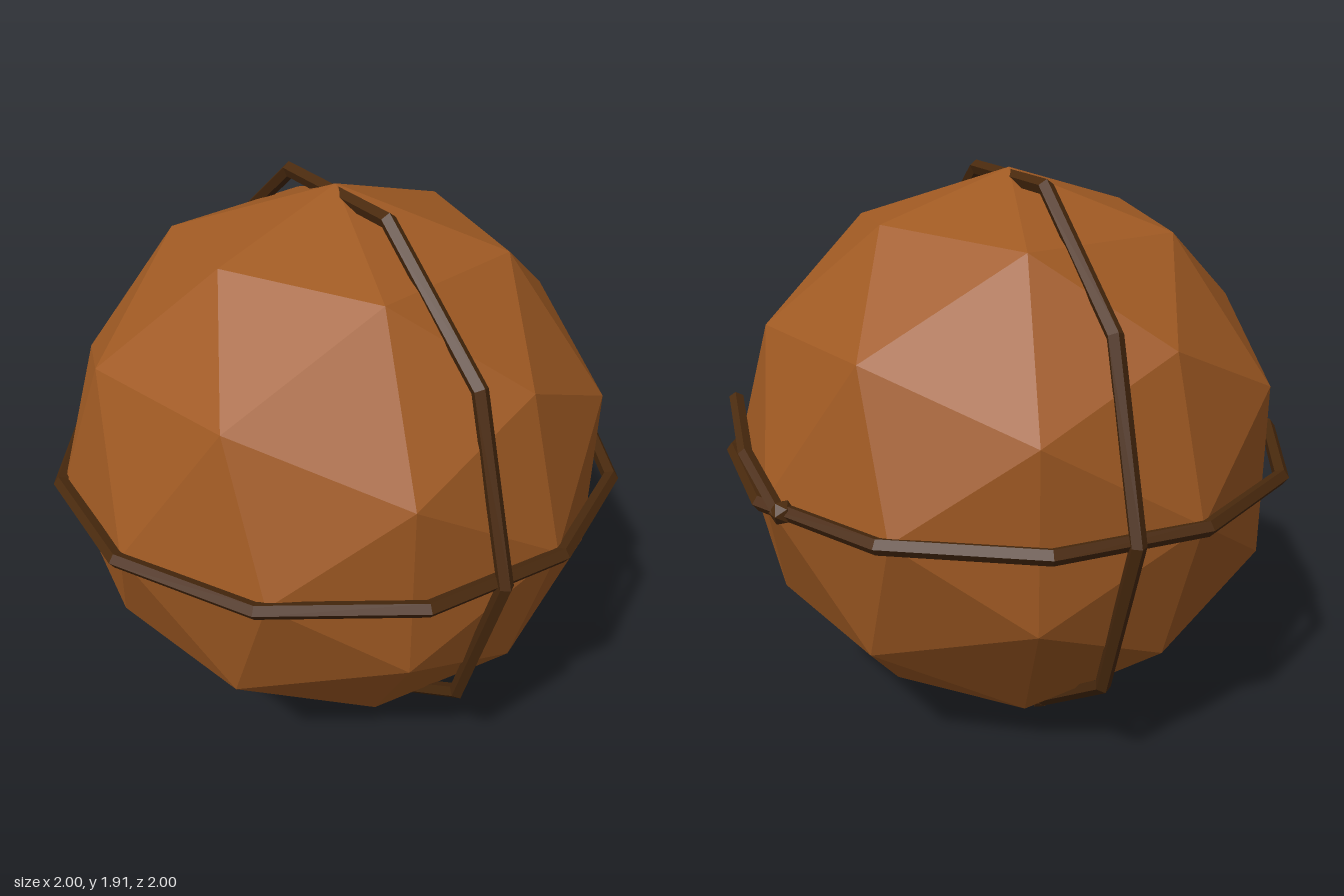
import * as THREE from 'three';

export function createModel() {
  const model = new THREE.Group();
  const CENTER = 0.957; // ball radius and height of its centre
  const R = 0.973, TUBE = 0.027, SIDES = 5;

  const brown = new THREE.MeshStandardMaterial({ color: 0xa05a23, flatShading: true });
  brown.name = 'ball brown';
  const dark = new THREE.MeshStandardMaterial({ color: 0x4a2a0e, flatShading: true, side: THREE.DoubleSide });
  dark.name = 'dark brown';

  const add = (name, geometry, material) => {
    const mesh = new THREE.Mesh(geometry, material);
    mesh.name = name;
    mesh.position.y = CENTER;
    model.add(mesh);
    return mesh;
  };

  // Faceted ball
  add('ball', new THREE.IcosahedronGeometry(CENTER, 1), brown);

  // Horizontal and upright bands, with few segments
  add('equatorBand', new THREE.TorusGeometry(R, TUBE, SIDES, 12), dark).rotation.x = Math.PI / 2;
  add('uprightBand', new THREE.TorusGeometry(R, TUBE, SIDES, 10), dark).rotation.y = THREE.MathUtils.degToRad(75);

  // Short loose strand: a two-segment arc along the ball's side
  const start = new THREE.Vector3(0.965, 0, -0.11).normalize();
  const end = new THREE.Vector3(0.87, 0.23, 0.36).normalize();
  const normal = start.clone().cross(end).normalize();
  const along = normal.clone().cross(start);
  const strand = add('looseStrand',
    new THREE.TorusGeometry(R - 0.004, 0.024, SIDES, 2, start.angleTo(end)), dark);
  strand.quaternion.setFromRotationMatrix(new THREE.Matrix4().makeBasis(start, along, normal));

  // Knots at the strand's root and under the upright band
  [[0.952, 0, -0.11], [0.08, -0.915, -0.29]].forEach(([x, y, z], i) => {
    add(i ? 'lowerKnot' : 'sideKnot', new THREE.IcosahedronGeometry(0.041, 0), dark)
      .position.set(x, CENTER + y, z);
  });

  return model;
}
